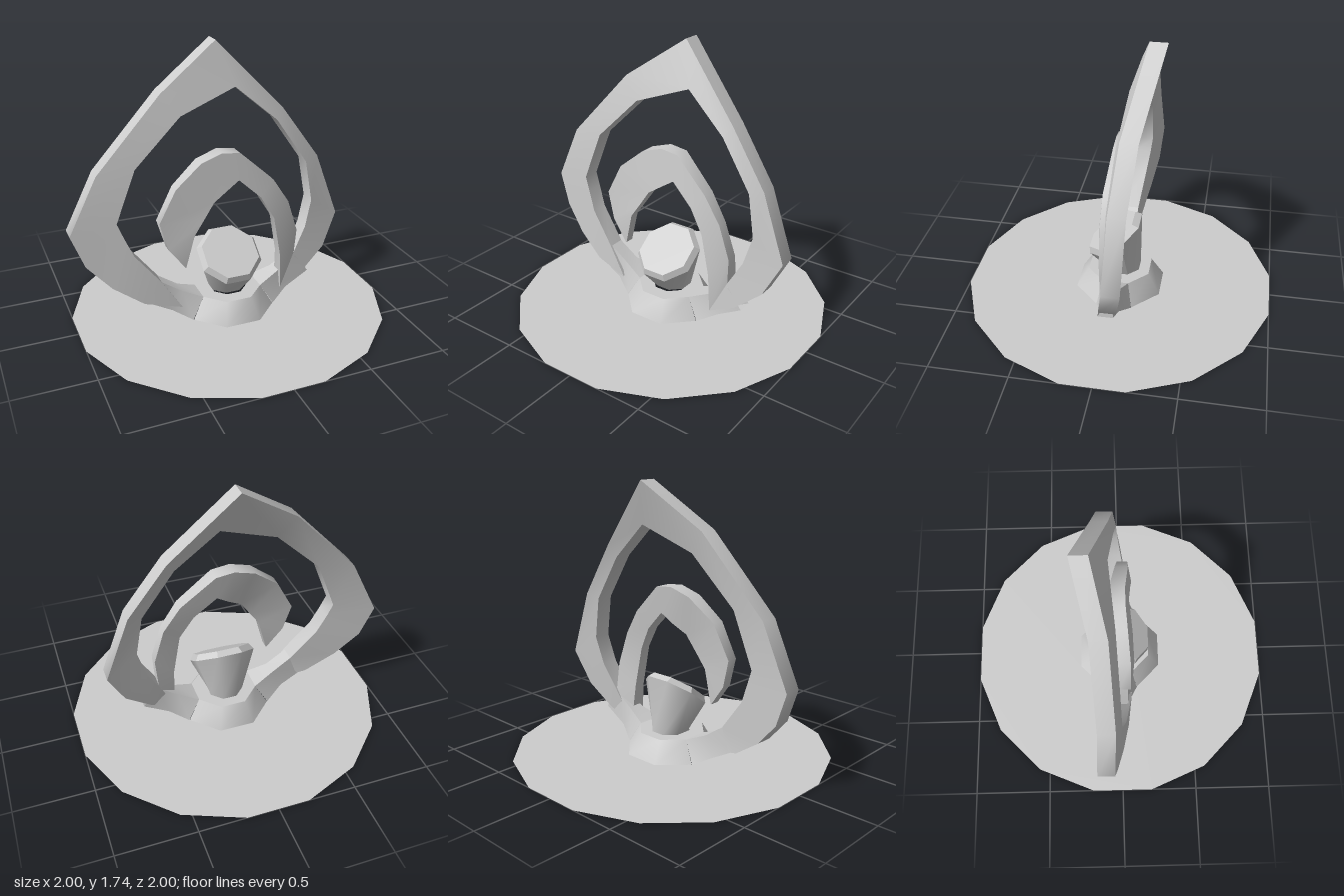
import * as THREE from 'three';
import { toCreasedNormals } from 'three/addons/utils/BufferGeometryUtils.js';

const grey = new THREE.MeshStandardMaterial({ color: 0xcccccc, side: THREE.DoubleSide });
grey.name = 'pale grey';
const EIGHTH = Math.PI / 8;

// Skin a list of equal-length closed cross-sections, with optional triangulated caps.
function loft(sections, capStart = false, capEnd = false) {
  const pos = [];
  const tri = (a, b, c) => pos.push(...a, ...b, ...c);
  for (let i = 0; i < sections.length - 1; i++) {
    const s = sections[i], t = sections[i + 1], n = s.length;
    for (let j = 0; j < n; j++) {
      const k = (j + 1) % n;
      tri(s[j], s[k], t[k]);
      tri(s[j], t[k], t[j]);
    }
  }
  const cap = (s, flip) => {
    for (let j = 1; j < s.length - 1; j++) {
      if (flip) tri(s[0], s[j + 1], s[j]);
      else tri(s[0], s[j], s[j + 1]);
    }
  };
  if (capStart) cap(sections[0], true);
  if (capEnd) cap(sections[sections.length - 1], false);
  const g = new THREE.BufferGeometry();
  g.setAttribute('position', new THREE.Float32BufferAttribute(pos, 3));
  return g;
}

// Band between an outer and an inner edge: [outer x, y, z, inner x, y, z, depth].
const band = (rows) => loft(rows.map(([ox, oy, oz, ix, iy, iz, d]) => [
  [ox, oy, oz], [ix, iy, iz], [ix, iy, iz - d], [ox, oy, oz - d],
]));

function octagon(radius, place) {
  return Array.from({ length: 8 }, (_, i) => {
    const a = EIGHTH * (2 * i + 1);
    return place(radius * Math.cos(a), radius * Math.sin(a));
  });
}

export function createModel() {
  const model = new THREE.Group();
  const add = (name, geometry, crease = 0.85) => {
    const mesh = new THREE.Mesh(toCreasedNormals(geometry, crease), grey);
    mesh.name = name;
    model.add(mesh);
    return mesh;
  };

  // Flat ground plate with an opening under the pedestal
  const plate = new THREE.Shape(Array.from({ length: 16 }, (_, i) => {
    const a = (i + 0.5) * EIGHTH;
    return new THREE.Vector2(1.02 * Math.cos(a), 1.02 * Math.sin(a));
  }));
  plate.holes.push(new THREE.Path(octagon(0.3, (x, y) => new THREE.Vector2(x, y))));
  add('groundPlate', new THREE.ShapeGeometry(plate).rotateX(-Math.PI / 2));

  // Hollow pedestal, open at both sides where the arms start
  for (const [name, turn] of [['pedestalFront', 0], ['pedestalBack', Math.PI]]) {
    add(name, new THREE.CylinderGeometry(0.2165, 0.3, 0.135, 3, 1, true, turn - 3 * EIGHTH, 6 * EIGHTH)
      .translate(0, 0.0675, 0));
  }
  add('pedestalTop', new THREE.RingGeometry(0.12, 0.2165, 8, 1, EIGHTH)
    .rotateX(-Math.PI / 2).translate(0, 0.135, 0));

  // Arms reaching from the pedestal into the ring: [top x, y, half depth, bottom x, y, half depth]
  const arm = [
    [0.2, 0.135, 0.083, 0.28, 0, 0.115],
    [0.33, 0.19, 0.05, 0.4, 0.065, 0.055],
    [0.47, 0.285, 0.048, 0.565, 0.155, 0.048],
  ];
  for (const side of [1, -1]) {
    const sections = arm.map(([tx, ty, tz, bx, by, bz]) => [
      [side * tx, ty, tz], [side * bx, by, bz], [side * bx, by, -bz], [side * tx, ty, -tz],
    ]);
    if (side < 0) sections.reverse();
    add(side > 0 ? 'leftArm' : 'rightArm', loft(sections));
  }

  // Large outer loop, swept from its pointed tip over the peak to the shared root
  add('outerLoop', band([
    [-0.34, 0.09, 0.08, -0.345, 0.095, 0.08, 0.1],
    [-0.58, 0.15, 0.05, -0.47, 0.29, 0.06, 0.11],
    [-0.77, 0.28, 0.01, -0.63, 0.49, 0.03, 0.11],
    [-0.92, 0.44, -0.03, -0.685, 0.62, 0.01, 0.11],
    [-1, 0.65, -0.05, -0.72, 0.71, 0, 0.11],
    [-0.82, 1.02, -0.04, -0.59, 1.04, -0.01, 0.11],
    [-0.4, 1.47, -0.07, -0.29, 1.33, -0.03, 0.11],
    [-0.01, 1.74, -0.165, 0.08, 1.465, -0.065, 0.11],
    [0.4, 1.3, -0.06, 0.35, 1.23, -0.03, 0.11],
    [0.645, 0.95, -0.03, 0.555, 0.925, -0.01, 0.11],
    [0.8, 0.52, -0.02, 0.6, 0.65, 0, 0.11],
    [0.69, 0.3, 0.02, 0.55, 0.47, 0.02, 0.11],
    [0.52, 0.16, 0.055, 0.46, 0.31, 0.045, 0.11],
    [0.35, 0.085, 0.075, 0.46, 0.31, 0.045, 0.1],
  ]));

  // Small inner arch, from its free tip to the shared root
  add('innerArch', band([
    [-0.315, 0.37, 0.08, -0.31, 0.37, 0.08, 0.06],
    [-0.42, 0.51, 0.07, -0.255, 0.585, 0.09, 0.065],
    [-0.47, 0.69, 0.06, -0.19, 0.68, 0.085, 0.07],
    [-0.36, 0.9, 0.06, -0.12, 0.785, 0.08, 0.08],
    [-0.19, 1.04, 0.045, -0.03, 0.845, 0.07, 0.1],
    [-0.05, 1.085, 0.035, 0.055, 0.9, 0.06, 0.1],
    [0.07, 1.07, 0.035, 0.055, 0.9, 0.06, 0.1],
    [0.29, 0.87, 0.06, 0.2, 0.765, 0.075, 0.085],
    [0.4, 0.7, 0.06, 0.29, 0.61, 0.085, 0.07],
    [0.47, 0.48, 0.055, 0.34, 0.34, 0.08, 0.075],
    [0.46, 0.31, 0.045, 0.35, 0.085, 0.075, 0.1],
  ]));

  // Flared cup leaning to the front, with a bevelled rim and a flat face
  const tilted = (cy, cz) => (u, v) => [u, cy - 0.6 * v, cz + 0.8 * v];
  const foot = octagon(0.12, (u, v) => [u, 0.135, v - 0.02]).reverse();
  const rim = octagon(0.2165, tilted(0.38, 0.03)).reverse();
  const face = octagon(0.19, tilted(0.41, 0.055)).reverse();
  add('cup', loft([foot, rim]));
  add('cupRim', loft([rim, face], false, true), 0.3);

  return model;
}
